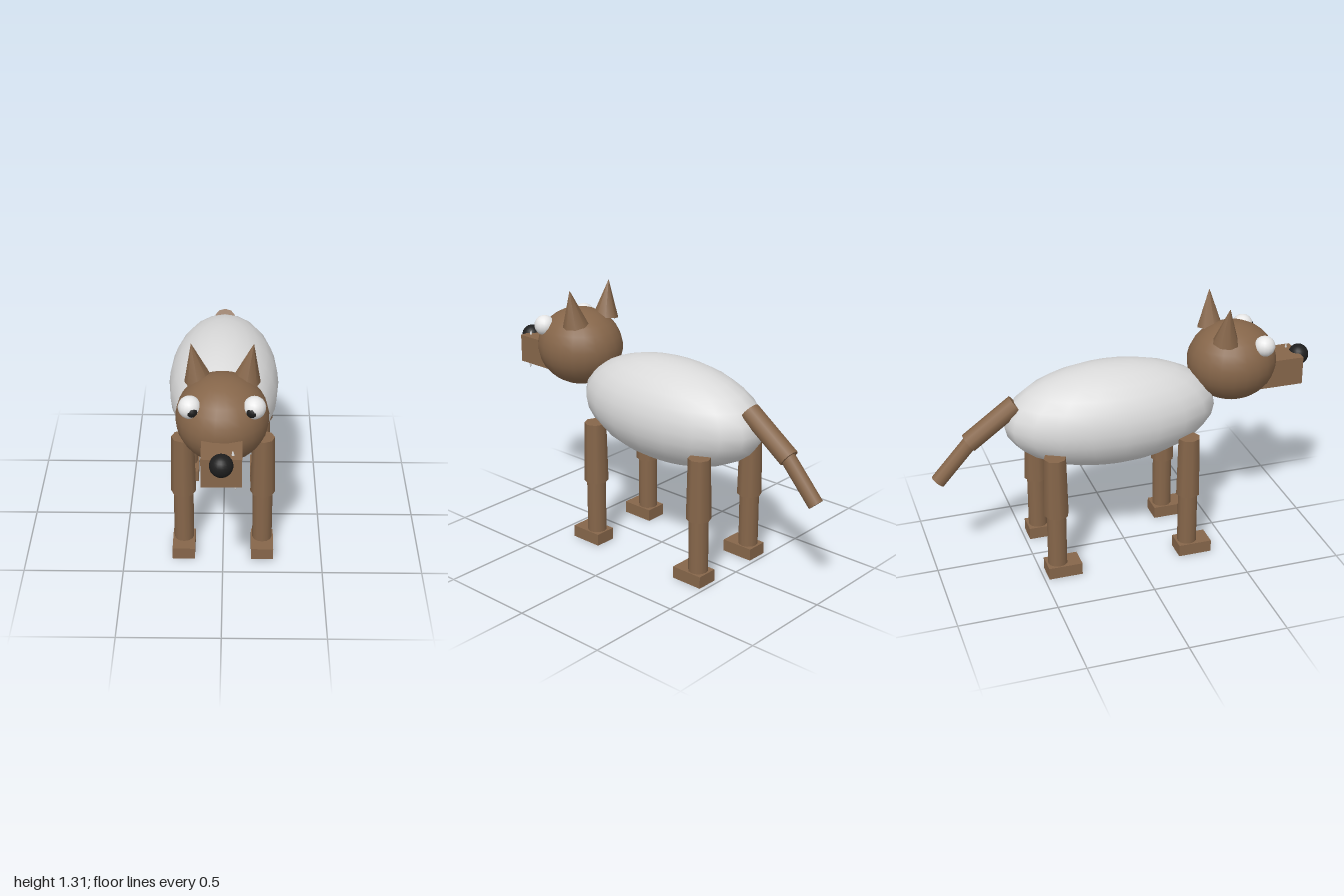
import * as THREE from 'three';

const mat = (name, color, extra = {}) => {
  const m = new THREE.MeshStandardMaterial({ color, ...extra });
  m.name = name;
  return m;
};

export function createModel() {
  const brown = mat('brown', 0x86664a);
  const grey = mat('light grey', 0xdadada);
  const white = mat('eye white', 0xf0f0f0);
  const black = mat('black', 0x1e1e1e);

  const dog = new THREE.Group();
  dog.name = 'dog';

  const add = (name, geometry, material, position, parent = dog) => {
    const mesh = new THREE.Mesh(geometry, material);
    mesh.name = name;
    mesh.position.set(...position);
    parent.add(mesh);
    return mesh;
  };

  const ellipsoid = (name, material, position, radii, parent, segments = 20) => {
    const geometry = new THREE.SphereGeometry(1, segments, Math.round(segments * 0.7));
    geometry.scale(...radii);
    return add(name, geometry, material, position, parent);
  };

  // Tapered rod running from one point to another
  const rod = (name, material, from, to, r0, r1, sides = 8, parent = dog) => {
    const a = new THREE.Vector3(...from);
    const b = new THREE.Vector3(...to);
    const dir = b.clone().sub(a);
    const geometry = new THREE.CylinderGeometry(r1, r0, dir.length(), sides);
    const mesh = add(name, geometry, material, a.add(b).multiplyScalar(0.5).toArray(), parent);
    mesh.quaternion.setFromUnitVectors(new THREE.Vector3(0, 1, 0), dir.normalize());
    return mesh;
  };

  // Body and head
  ellipsoid('body', grey, [0, 0.773, -0.07], [0.277, 0.264, 0.55]);
  const head = new THREE.Group();
  head.name = 'head';
  dog.add(head);
  ellipsoid('skull', brown, [0, 0.967, 0.575], [0.217, 0.203, 0.23], head, 22);
  add('snout', new THREE.BoxGeometry(0.184, 0.147, 0.3), brown, [0, 0.892, 0.785], head);
  ellipsoid('nose', black, [0, 0.943, 0.948], [0.054, 0.054, 0.052], head);

  // Slim tooth passing through the snout
  const tooth = ellipsoid('tooth', grey, [0.057, 0.885, 0.9], [0.011, 0.105, 0.009], head, 10);
  tooth.rotation.z = 0.065;

  // Eyes and ears, mirrored
  for (const s of [1, -1]) {
    const side = s > 0 ? 'left' : 'right';
    ellipsoid(side + 'Eye', white, [s * 0.146, 1.085, 0.69], [0.053, 0.053, 0.054], head, 16);
    ellipsoid(side + 'Pupil', black, [s * 0.137, 1.081, 0.716], [0.031, 0.031, 0.031], head, 12);
    rod(side + 'Ear', brown, [s * 0.11, 1.115, 0.495], [s * 0.143, 1.307, 0.5], 0.067, 0, 8, head);
  }

  // Four legs, each with a thigh, a shin and a forward foot
  for (const [end, z] of [['front', 0.279], ['rear', -0.418]]) {
    for (const s of [1, -1]) {
      const leg = new THREE.Group();
      leg.name = end + (s > 0 ? 'Left' : 'Right') + 'Leg';
      leg.position.set(s * 0.199, 0, z);
      dog.add(leg);
      rod('thigh', brown, [0, 0.345, 0], [0, 0.666, 0], 0.063, 0.056, 8, leg);
      rod('shin', brown, [0, 0.05, 0], [0, 0.36, 0], 0.05, 0.05, 12, leg);
      add('foot', new THREE.BoxGeometry(0.113, 0.063, 0.174), brown, [0, 0.0315, 0.028], leg);
    }
  }

  // Two-part tail
  rod('tailBase', brown, [0, 0.886, -0.56], [0, 0.71, -0.802], 0.055, 0.055, 10).scale.z = 0.87;
  rod('tailTip', brown, [0, 0.73, -0.778], [0, 0.52, -0.966], 0.038, 0.038, 10);

  return dog;
}
